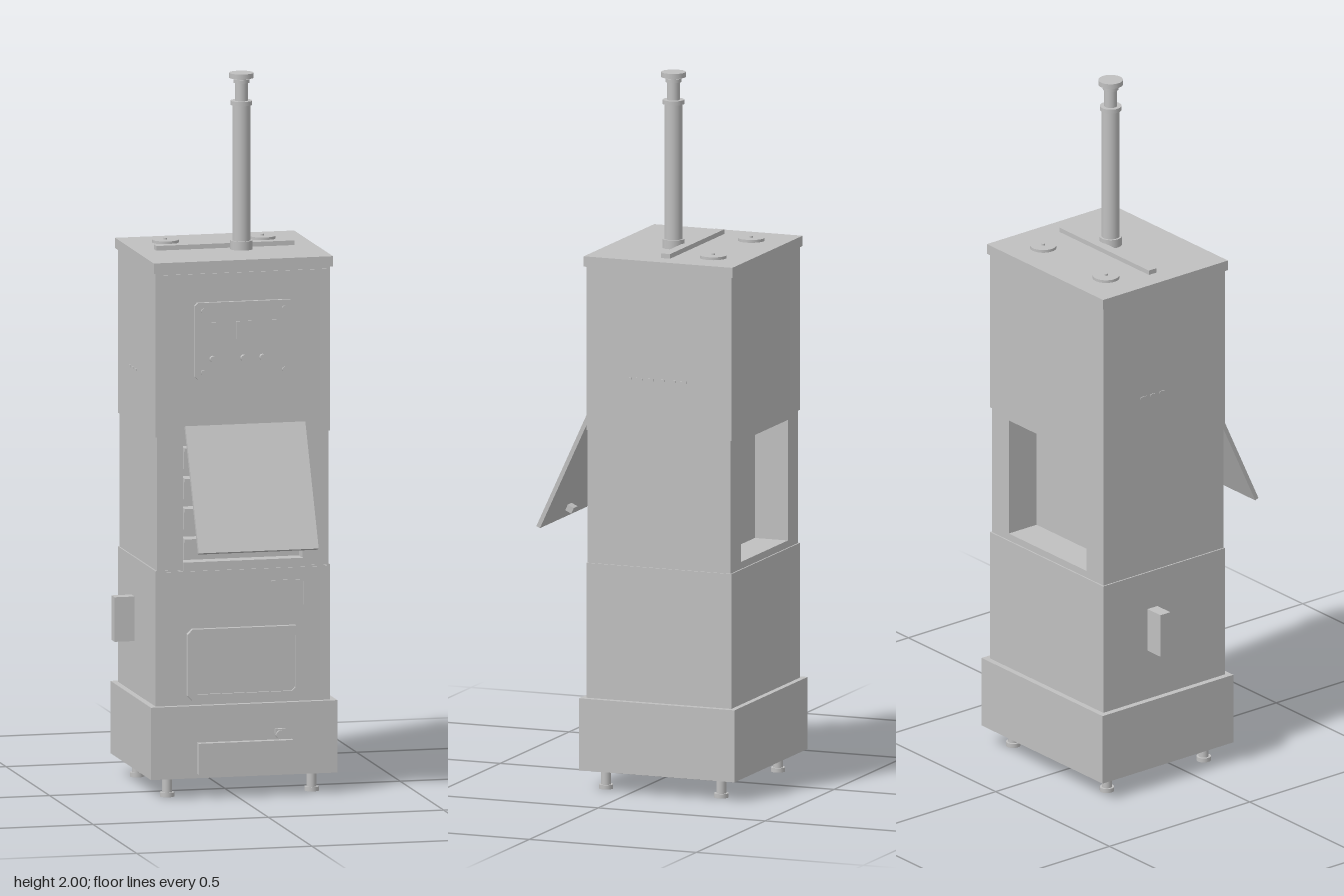
import * as THREE from 'three';

export function createModel() {
  const model = new THREE.Group();
  const metal = new THREE.MeshStandardMaterial({ color: 0xc0c0c0 });
  metal.name = 'light grey metal';
  const CX = 0.019, CZ = -0.086; // cabinet axis

  const add = (name, geometry, parent = model) => {
    const mesh = new THREE.Mesh(geometry, metal);
    mesh.name = name;
    parent.add(mesh);
    return mesh;
  };
  // Box given by its limits on each axis
  const box = (name, x0, x1, y0, y1, z0, z1, parent) => {
    const mesh = add(name, new THREE.BoxGeometry(x1 - x0, y1 - y0, z1 - z0), parent);
    mesh.position.set((x0 + x1) / 2, (y0 + y1) / 2, (z0 + z1) / 2);
    return mesh;
  };
  const section = (name, halfX, halfZ, y0, y1) =>
    box(name, CX - halfX, CX + halfX, y0, y1, CZ - halfZ, CZ + halfZ);
  // Upright cylinder
  const rod = (name, x, z, r, y0, y1, sides = 24) => {
    const mesh = add(name, new THREE.CylinderGeometry(r, r, y1 - y0, sides));
    mesh.position.set(x, (y0 + y1) / 2, z);
    return mesh;
  };
  // Cylinder pointing forward
  const stud = (name, x, y, r, z0, z1) => {
    const mesh = add(name, new THREE.CylinderGeometry(r, r, z1 - z0, 16));
    mesh.rotation.x = Math.PI / 2;
    mesh.position.set(x, y, (z0 + z1) / 2);
    return mesh;
  };
  // Outline with clipped corners
  const outline = (Type, x0, x1, y0, y1, c) => new Type([
    [x0 + c, y0], [x1 - c, y0], [x1, y0 + c], [x1, y1 - c],
    [x1 - c, y1], [x0 + c, y1], [x0, y1 - c], [x0, y0 + c],
  ].map(([x, y]) => new THREE.Vector2(x, y)));
  const plate = (name, shape, z0, z1) => {
    const mesh = add(name, new THREE.ExtrudeGeometry(shape, { depth: z1 - z0, bevelEnabled: false }));
    mesh.position.z = z0;
    return mesh;
  };

  // Cabinet: base, lower and upper sections, lid
  section('base', 0.266, 0.233, 0.057, 0.26);
  section('lowerSection', 0.249, 0.217, 0.26, 0.64);
  section('upperSection', 0.249, 0.217, 1.015, 1.48);
  section('lid', 0.2555, 0.2225, 1.476, 1.505);
  box('lowerFrontPanel', -0.222, 0.258, 0.268, 0.636, 0.13, 0.134);
  box('upperFrontPanel', -0.222, 0.258, 1.02, 1.47, 0.13, 0.134);

  // Middle section, open at front and back, with a divider inside
  const wall = new THREE.Shape([[-0.226, 0.64], [0.264, 0.64], [0.264, 1.015], [-0.226, 1.015]]
    .map(([x, y]) => new THREE.Vector2(x, y)));
  wall.holes.push(new THREE.Path([[-0.152, 0.66], [-0.152, 1.0], [0.19, 1.0], [0.19, 0.66]]
    .map(([x, y]) => new THREE.Vector2(x, y))));
  plate('middleSection', wall, -0.299, 0.129);
  box('nicheDivider', -0.16, 0.198, 0.65, 1.01, -0.2, 0.08);

  // Stepped grate in the front opening
  for (let i = 0; i < 4; i++) {
    const y = 0.665 + i * 0.085;
    box('grateBar', -0.145, 0.184, y, y + 0.05, 0.07, 0.112);
    box('grateLedge', -0.145, 0.184, y + 0.05, y + 0.06, 0.07, 0.127);
  }
  box('openingSill', -0.152, 0.19, 0.638, 0.662, 0.12, 0.137);

  // Flap hinged at its top and propped open
  const flap = new THREE.Group();
  flap.name = 'flap';
  flap.position.set(0, 1.046, 0.154);
  flap.rotation.x = -Math.atan2(0.153, 0.33);
  box('flapPlate', -0.152, 0.19, -0.366, 0, -0.006, 0.006, flap);
  box('flapCatch', 0.005, 0.033, -0.34, -0.322, -0.026, -0.006, flap);
  model.add(flap);
  for (const x of [-0.135, 0.165]) box('flapHinge', x, x + 0.02, 1.025, 1.042, 0.13, 0.154);

  // Control panel with screws, knobs and gauges
  plate('controlPanel', outline(THREE.Shape, -0.121, 0.16, 1.175, 1.39, 0.008), 0.134, 0.145);
  for (const x of [-0.097, 0.134]) for (const y of [1.195, 1.367]) stud('panelScrew', x, y, 0.007, 0.145, 0.15);
  for (const x of [-0.071, 0.017, 0.071]) stud('panelKnob', x, 1.232, 0.009, 0.145, 0.157);
  for (const x of [-0.065, 0.018, 0.1]) box('panelGauge', x - 0.022, x + 0.022, 1.285, 1.335, 0.145, 0.148);

  // Framed ash door
  const frame = outline(THREE.Shape, -0.143, 0.181, 0.275, 0.475, 0.014);
  frame.holes.push(outline(THREE.Path, -0.126, 0.164, 0.292, 0.458, 0.01));
  plate('doorFrame', frame, 0.13, 0.15);
  box('doorPanel', -0.13, 0.168, 0.288, 0.462, 0.13, 0.143);

  // Angled door latch
  box('latchBar', 0.1, 0.195, 0.597, 0.602, 0.134, 0.137);
  box('latchDrop', 0.19, 0.195, 0.53, 0.597, 0.134, 0.137);

  // Base drawer and its catch
  box('drawer', -0.116, 0.154, 0.07, 0.157, 0.14, 0.168);
  stud('drawerKnob', 0.118, 0.172, 0.012, 0.146, 0.166);
  box('drawerLatch', 0.105, 0.135, 0.174, 0.188, 0.146, 0.158);

  // Box on the right side
  box('sideBox', -0.287, -0.228, 0.405, 0.53, -0.145, -0.11);

  // Vent slots on both sides
  for (const side of [-1, 1]) for (let i = 0; i < (side > 0 ? 6 : 3); i++) {
    const x = CX + side * 0.249, z = -0.17 + i * 0.033;
    box('ventSlot', x - 0.002, x + 0.002, 1.167, 1.173, z, z + 0.02);
  }

  // Legs with feet
  for (const x of [-0.187, 0.225]) for (const z of [0.09, -0.255]) {
    rod('leg', x, z, 0.014, 0.01, 0.06);
    rod('foot', x, z, 0.02, 0, 0.012);
    rod('legCollar', x, z, 0.018, 0.05, 0.058);
  }

  // Top fittings
  box('topBar', -0.178, 0.216, 1.504, 1.518, -0.098, -0.071);
  for (const x of [-0.119, 0.157]) {
    rod('topCover', x, -0.203, 0.037, 1.504, 1.513, 32);
    rod('topCoverPin', x, -0.203, 0.005, 1.513, 1.518, 12);
  }

  // Chimney
  const pipe = (name, r, y0, y1) => rod(name, 0.058, -0.043, r, y0, y1, 32);
  pipe('chimneyFlange', 0.031, 1.504, 1.53);
  pipe('chimneyPipe', 0.025, 1.53, 1.912);
  pipe('chimneyCollar', 0.03, 1.91, 1.922);
  pipe('chimneyNeck', 0.018, 1.92, 1.988);
  pipe('chimneyNeckRing', 0.022, 1.972, 1.982);
  pipe('chimneyCap', 0.034, 1.986, 2.0);

  return model;
}
